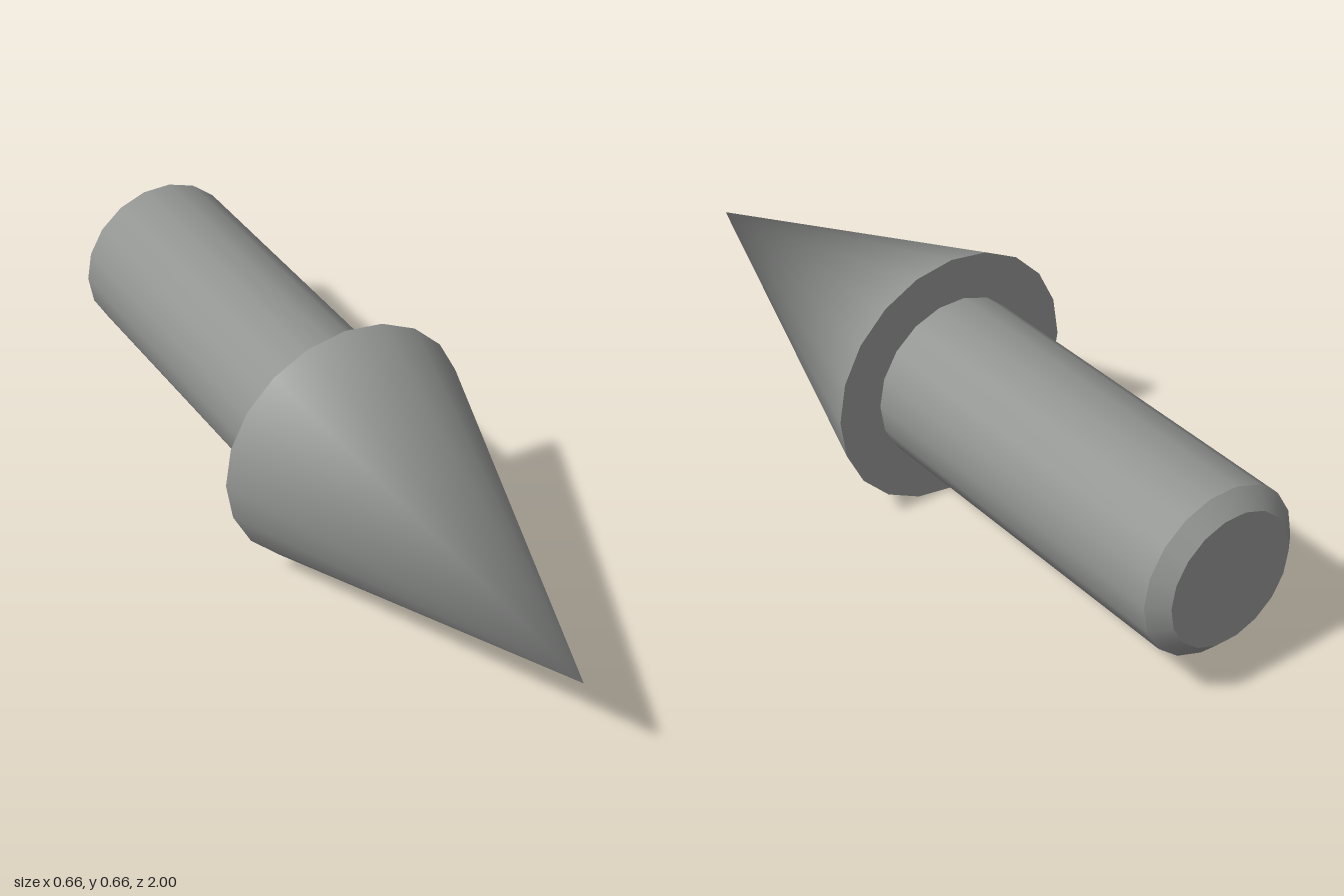
import * as THREE from 'three';
import { mergeVertices } from 'three/addons/utils/BufferGeometryUtils.js';

const AXIS_Y = 0.332;

export function createModel() {
  const model = new THREE.Group();
  model.name = 'arrow';
  const grey = new THREE.MeshStandardMaterial({ color: 0x929492 });
  grey.name = 'grey';

  const add = (name, geometry, z) => {
    const mesh = new THREE.Mesh(geometry, grey);
    mesh.name = name;
    mesh.position.set(0, AXIS_Y, z);
    model.add(mesh);
  };

  // Open tapered tube along z, with its corners on the x axis
  const tube = (front, back, length) =>
    new THREE.CylinderGeometry(front, back, length, 18, 1, true, Math.PI / 2).rotateX(Math.PI / 2);

  // Flat disc facing backwards
  const disc = (radius, sides) => new THREE.CircleGeometry(radius, sides).rotateY(Math.PI);

  // Pointed head: all sides share one tip vertex so the shading runs smoothly over it
  let cone = new THREE.ConeGeometry(0.33, 1, 20, 1, true).rotateX(Math.PI / 2);
  cone.deleteAttribute('normal');
  cone.deleteAttribute('uv');
  cone = mergeVertices(cone, 1e-4);
  cone.computeVertexNormals();
  add('headCone', cone, 0.5);
  add('headBase', disc(0.33, 20), 0);

  // Shaft with a chamfered rear end
  add('shaft', tube(0.214, 0.214, 0.96), -0.48);
  add('shaftChamfer', tube(0.214, 0.171, 0.04), -0.98);
  add('shaftEnd', disc(0.171, 18), -1);

  return model;
}
